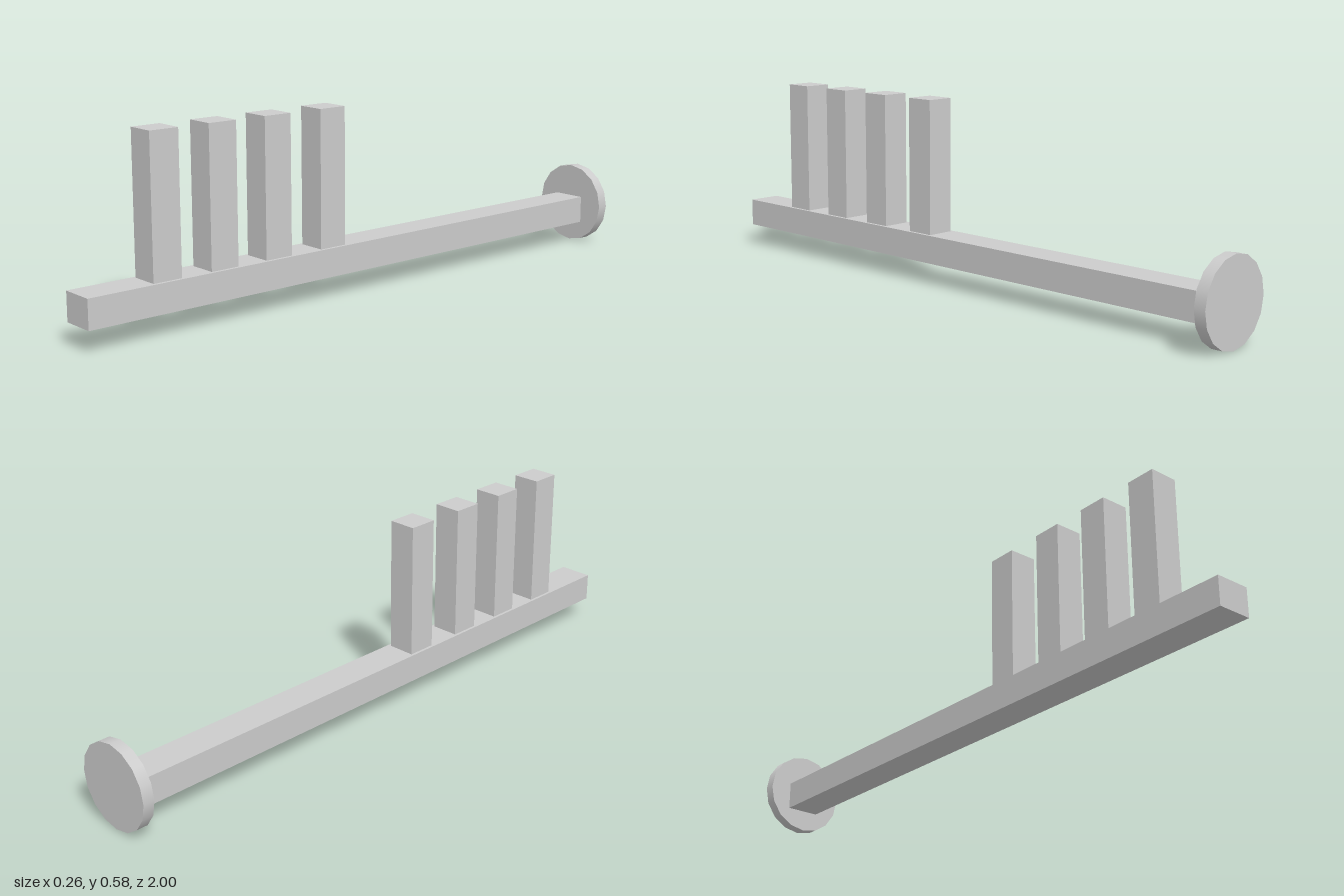
import * as THREE from 'three';

export function createModel() {
  const model = new THREE.Group();
  const material = new THREE.MeshStandardMaterial({ color: 0xcccccc });

  const add = (name, geometry, x, y, z) => {
    const mesh = new THREE.Mesh(geometry, material);
    mesh.name = name;
    mesh.position.set(x, y, z);
    model.add(mesh);
    return mesh;
  };

  // Long square shaft, running from the front into the end disc
  add('shaft', new THREE.BoxGeometry(0.108, 0.088, 1.965), -0.005, 0.112, 0.0175);

  // Sixteen-sided disc closing the back end
  const disc = add('endDisc', new THREE.CylinderGeometry(0.131, 0.131, 0.036, 16), 0, 0.131, -0.982);
  disc.rotation.x = Math.PI / 2;

  // Row of four upright teeth
  const toothGeometry = new THREE.BoxGeometry(0.089, 0.42, 0.093);
  [0.742, 0.549, 0.356, 0.152].forEach((z, i) => {
    add(`tooth${i + 1}`, toothGeometry, -0.0055, 0.366, z);
  });

  return model;
}
